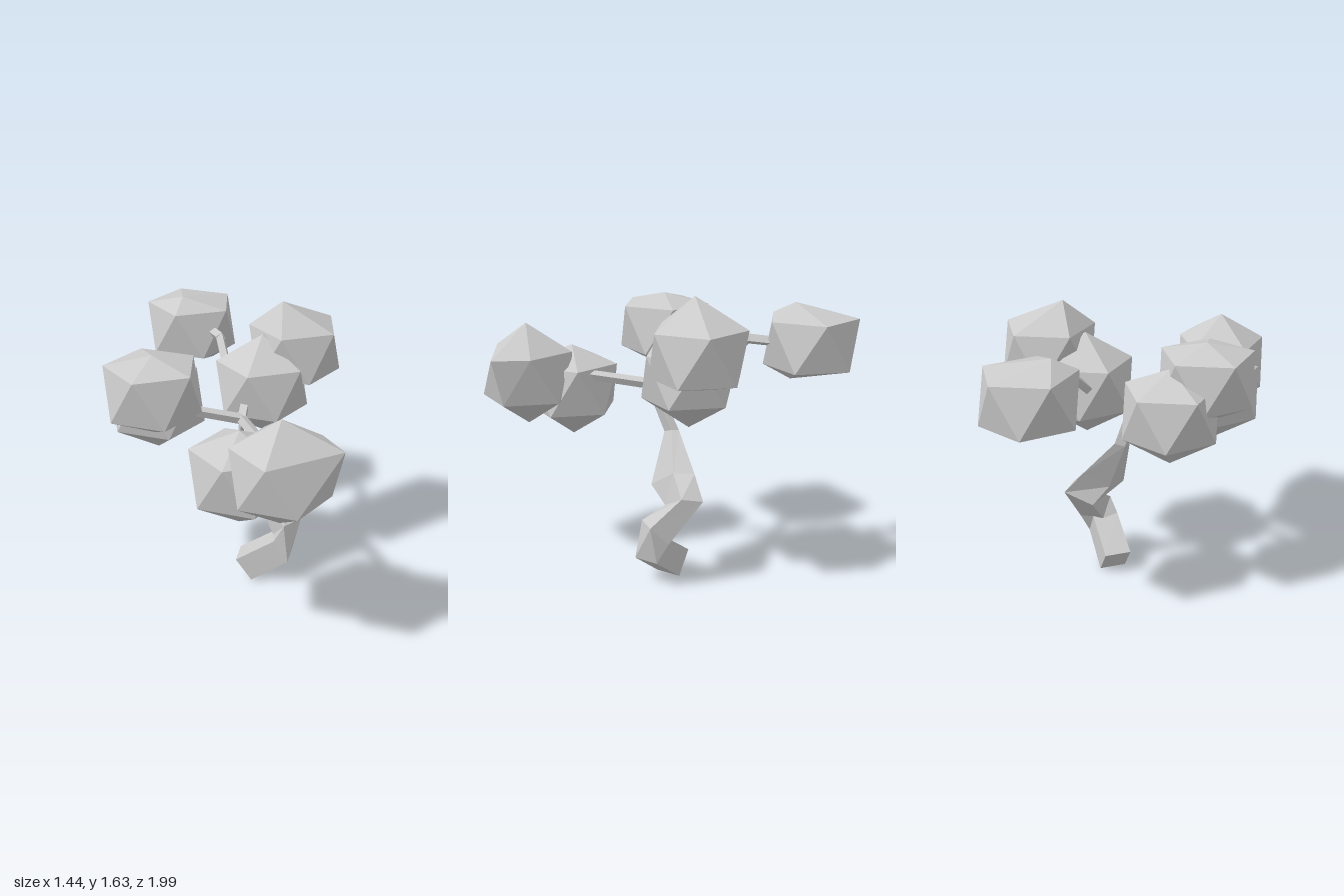
import * as THREE from 'three';

const material = new THREE.MeshStandardMaterial({ color: 0xcccccc, flatShading: true });
const vec = (p) => new THREE.Vector3(...p);

function indexedMesh(points, faces, name) {
  const indexed = new THREE.BufferGeometry().setFromPoints(points);
  indexed.setIndex(faces);
  const geometry = indexed.toNonIndexed();
  geometry.computeVertexNormals();
  const mesh = new THREE.Mesh(geometry, material);
  mesh.name = name;
  return mesh;
}

// Twenty-sided leaf clump: two rings of five and two movable poles
function leafClump({ name, at, top = [0, 0.287, 0], bottom = [0, -0.287, 0], nudge = {} }) {
  const radius = 0.257, half = 0.13;
  const points = [vec(top)];
  for (let ring = 0; ring < 2; ring++) {
    for (let i = 0; i < 5; i++) {
      const a = ((i + ring / 2) * Math.PI * 2) / 5;
      points.push(new THREE.Vector3(Math.cos(a) * radius, ring ? -half : half, Math.sin(a) * radius));
    }
  }
  points.push(vec(bottom));
  for (const [i, offset] of Object.entries(nudge)) points[i].add(vec(offset));
  const faces = [];
  for (let i = 0; i < 5; i++) {
    const n = (i + 1) % 5;
    const u = 1 + i, un = 1 + n, l = 6 + i, ln = 6 + n;
    faces.push(0, un, u, u, un, l, l, un, ln, 11, l, ln);
  }
  const mesh = indexedMesh(points, faces, name);
  mesh.position.set(...at);
  return mesh;
}

// Four-sided crooked trunk lofted through [centre, half side u, half side v]
function trunk() {
  const stations = [
    [[0.1025, 0.065, -0.018], [0.055, 0, -0.053], [-0.033, 0.065, -0.033]],
    [[0.255, 0.215, 0.14], [0.055, 0, -0.05], [-0.028, 0.065, -0.03]],
    [[0.297, 0.32, 0.12], [0.07, 0, -0.01], [0, -0.05, -0.05]],
    [[0.295, 0.475, -0.04], [0.075, 0.04, -0.03], [0, -0.01, -0.06]],
    [[0.185, 0.58, 0], [0.06, 0.05, -0.05], [0.02, 0, -0.055]],
    [[0.055, 0.82, -0.02], [0.025, 0.01, -0.015], [0.005, 0, -0.02]],
    [[0, 1.08, 0.08], [0.02, 0, -0.012], [0.008, 0, -0.02]],
  ];
  const points = [], faces = [];
  for (const [c, u, v] of stations) {
    for (const [su, sv] of [[-1, -1], [1, -1], [1, 1], [-1, 1]]) {
      points.push(vec(c).addScaledVector(vec(u), su).addScaledVector(vec(v), sv));
    }
  }
  for (let s = 0; s < stations.length - 1; s++) {
    for (let j = 0; j < 4; j++) {
      const a = s * 4 + j, b = s * 4 + ((j + 1) % 4);
      faces.push(a, b, b + 4, a, b + 4, a + 4);
    }
  }
  // Closed ends
  const e = points.length - 4;
  faces.push(0, 2, 1, 0, 3, 2, e, e + 1, e + 2, e, e + 2, e + 3);
  return indexedMesh(points, faces, 'trunk');
}

// Square twigs running along a list of points
function branch(name, path) {
  const group = new THREE.Group();
  group.name = name;
  for (let i = 0; i < path.length - 1; i++) {
    const a = vec(path[i]), b = vec(path[i + 1]);
    const dir = b.clone().sub(a);
    const mesh = new THREE.Mesh(new THREE.CylinderGeometry(0.028, 0.03, dir.length() + 0.02, 4), material);
    mesh.name = name + 'Segment';
    mesh.position.copy(a).add(b).multiplyScalar(0.5);
    mesh.quaternion.setFromUnitVectors(new THREE.Vector3(0, 1, 0), dir.normalize());
    group.add(mesh);
  }
  return group;
}

export function createModel() {
  const model = new THREE.Group();
  model.name = 'tree';
  model.add(trunk());

  const fork = [0, 1.08, 0.08];
  model.add(
    branch('frontBranch', [fork, [-0.12, 1.12, 0.42], [-0.235, 1.12, 0.7]]),
    branch('rightBranch', [fork, [-0.25, 1.15, -0.05], [-0.42, 1.28, -0.08]]),
    branch('leftBranch', [fork, [0.08, 1.14, 0], [0.25, 1.2, -0.07], [0.45, 1.34, -0.07]]),
    branch('backBranch', [[0.12, 1.16, -0.2], [0.19, 1.355, -0.41], [0.24, 1.335, -0.6]]),
  );

  const clumps = [
    { name: 'backLeaves', at: [0.22, 1.33, -0.755], top: [-0.1, 0.2, 0.06], bottom: [0.06, -0.185, 0.13] },
    { name: 'rightRearLeaves', at: [-0.33, 1.16, -0.255], top: [0, 0.24, 0] },
    { name: 'rightUpperLeaves', at: [-0.46, 1.315, -0.08], top: [0, 0.19, 0], bottom: [0, -0.25, 0] },
    { name: 'leftLowerLeaves', at: [0.245, 1.18, -0.075] },
    { name: 'leftUpperLeaves', at: [0.47, 1.345, -0.075], top: [-0.09, 0.285, 0], bottom: [0, -0.19, 0] },
    { name: 'frontLowerLeaves', at: [-0.3, 1.02, 0.485], top: [0, 0.235, 0] },
    { name: 'frontUpperLeaves', at: [-0.235, 1.115, 0.745], nudge: { 2: [0.15, 0, -0.035] } },
  ];
  for (const clump of clumps) model.add(leafClump(clump));
  return model;
}
